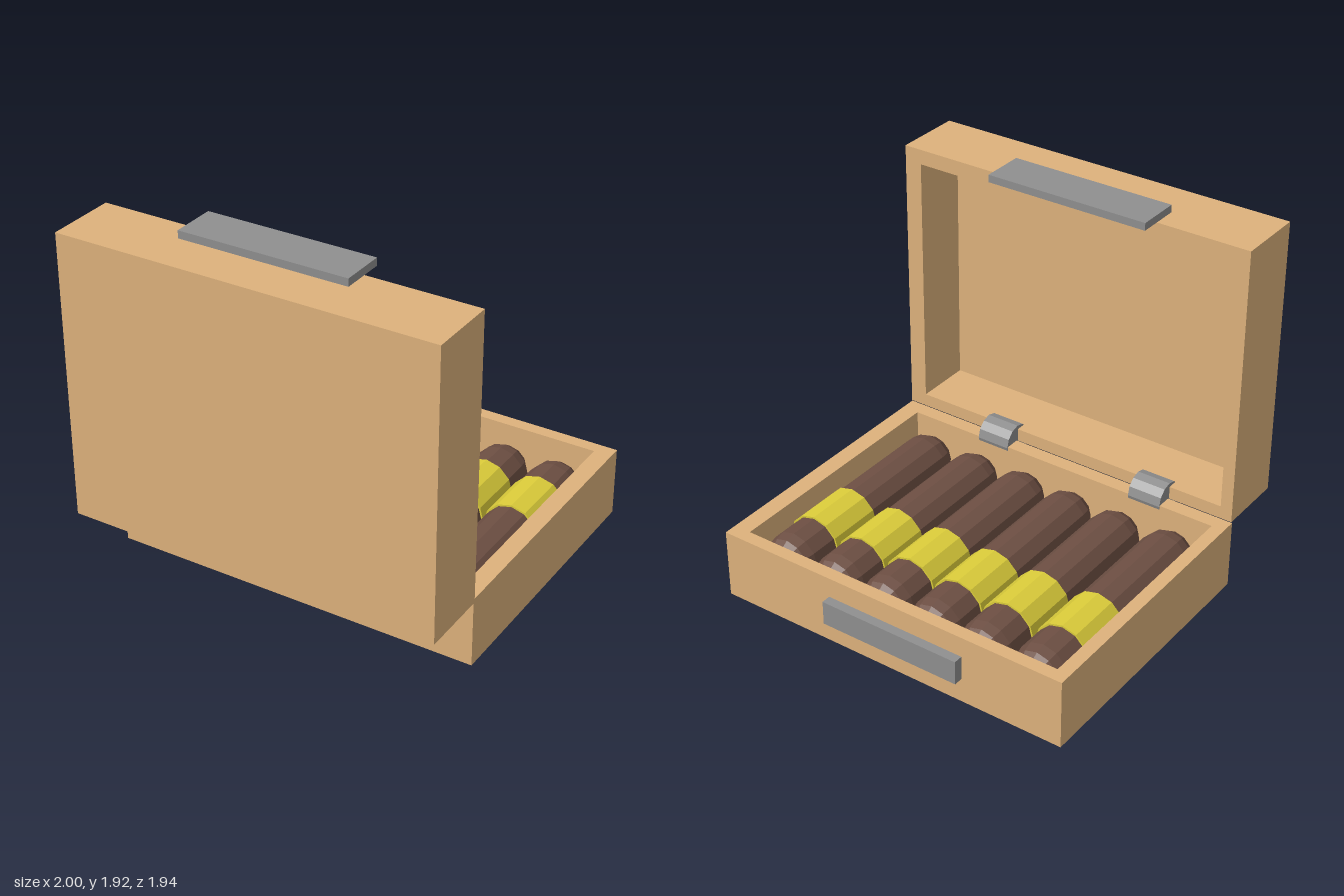
import * as THREE from 'three';

const mat = (color) => new THREE.MeshStandardMaterial({ color, flatShading: true });
const wood = mat(0xdeb27c), metal = mat(0x8f8f8f), leaf = mat(0x6d4f43), yellow = mat(0xdccd3a);

function add(parent, name, geometry, material, x = 0, y = 0, z = 0) {
  const mesh = new THREE.Mesh(geometry, material);
  mesh.name = name;
  mesh.position.set(x, y, z);
  parent.add(mesh);
  return mesh;
}

// Box given by its lower and upper limits
function block(parent, name, material, [x0, x1], [y0, y1], [z0, z1]) {
  return add(parent, name, new THREE.BoxGeometry(x1 - x0, y1 - y0, z1 - z0), material,
    (x0 + x1) / 2, (y0 + y1) / 2, (z0 + z1) / 2);
}

function rectangle(Type, [x0, x1], [y0, y1]) {
  return new Type([[x0, y0], [x1, y0], [x1, y1], [x0, y1]].map(([x, y]) => new THREE.Vector2(x, y)));
}

// Hollow tray lying in the xy plane: rim walls plus a panel filling the hole over the z range 'panel'
function tray(name, outerX, outerY, innerX, innerY, depth, panel) {
  const group = new THREE.Group();
  group.name = name;
  const shape = rectangle(THREE.Shape, outerX, outerY);
  shape.holes.push(rectangle(THREE.Path, innerX, innerY));
  add(group, name + 'Walls', new THREE.ExtrudeGeometry(shape, { depth, bevelEnabled: false }), wood);
  block(group, name + 'Panel', wood, innerX, innerY, panel);
  return group;
}

export function createModel() {
  const model = new THREE.Group();
  model.name = 'openCigarBox';

  // Base, laid flat and opening upwards
  const base = tray('base', [-1, 0.99], [-0.59, 0.92], [-0.93, 0.895], [-0.51, 0.85], 0.375, [0, 0.055]);
  base.rotation.x = -Math.PI / 2;
  model.add(base);

  // Lid, standing upright and opening towards the back
  const lid = tray('lid', [-0.99, 1], [0.37, 1.88], [-0.925, 0.905], [0.44, 1.8], 0.37, [0.31, 0.37]);
  lid.position.z = 0.6;
  model.add(lid);

  // Clasp plates on lid and base
  block(model, 'lidClasp', metal, [-0.485, 0.41], [1.88, 1.92], [0.495, 0.73]);
  block(model, 'baseClasp', metal, [-0.445, 0.34], [0.135, 0.265], [-0.97, -0.92]);

  // Hinge barrels between base and lid
  for (const x of [-0.537, 0.393]) {
    const barrel = new THREE.CylinderGeometry(0.093, 0.093, 0.185, 12).rotateZ(Math.PI / 2);
    add(model, 'hinge', barrel, metal, x, 0.37, 0.598);
  }

  // Row of cigars, each with a paper band
  const cigarGeometry = new THREE.CapsuleGeometry(0.143, 1.064, 4, 12).rotateX(Math.PI / 2);
  const bandGeometry = new THREE.CylinderGeometry(0.153, 0.153, 0.305, 12).rotateX(Math.PI / 2);
  const places = [[-0.75, -0.165], [-0.445, -0.175], [-0.15, -0.168], [0.147, -0.158], [0.445, -0.16], [0.75, -0.158]];
  for (const [x, z] of places) {
    const cigar = new THREE.Group();
    cigar.name = 'cigar';
    add(cigar, 'cigarBody', cigarGeometry, leaf);
    add(cigar, 'cigarBand', bandGeometry, yellow, 0, 0, -0.225);
    cigar.position.set(x, 0.19, z);
    model.add(cigar);
  }
  return model;
}
